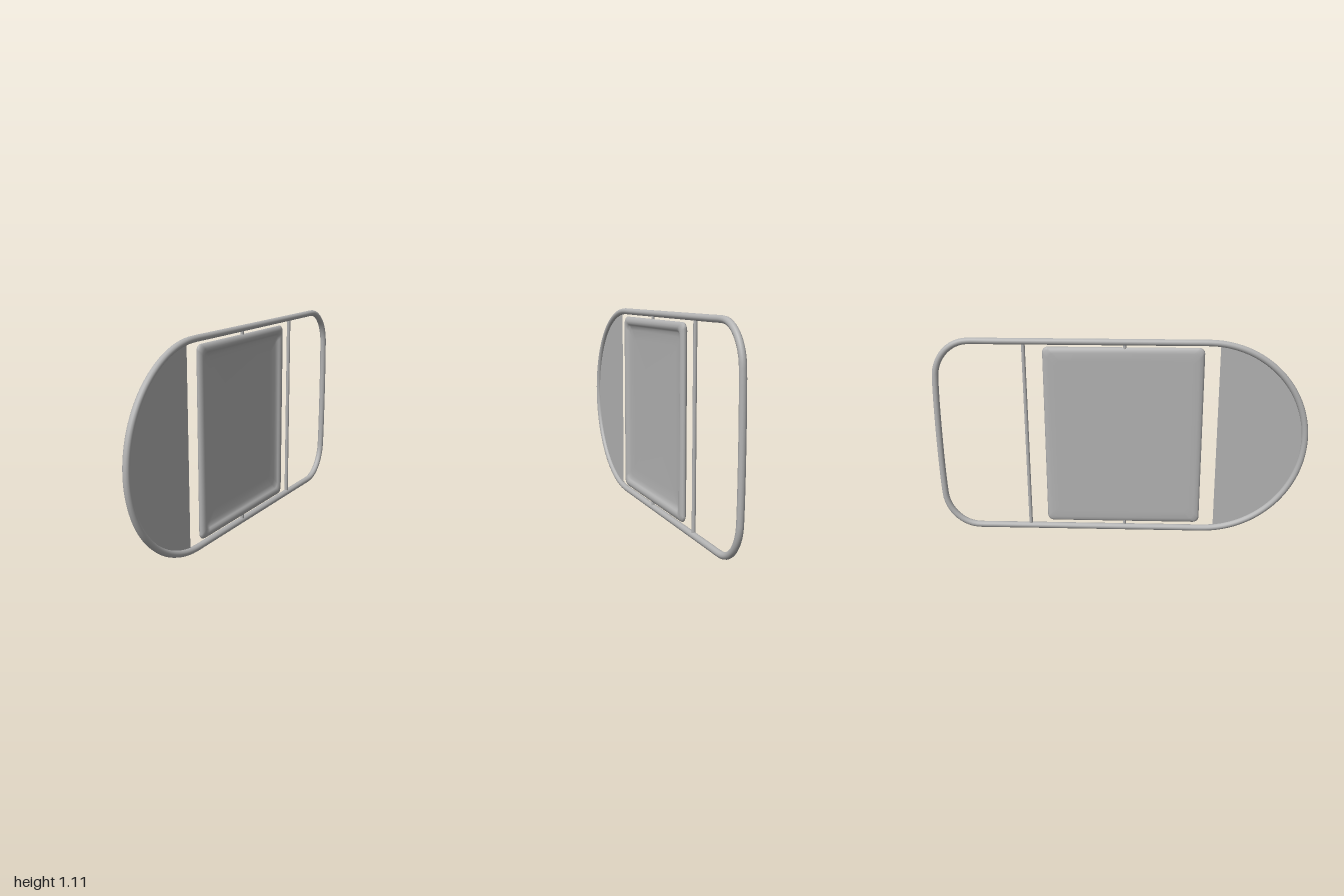
import * as THREE from 'three';

const MID = 0.555, HALF = 0.538;      // centre height and half height of the frame tube
const NOSE_U = 0.46, NOSE_R = 0.537;  // start and reach of the rounded end

// Rounded-rectangle ring in the plane of the panel, at depth x
function ring(halfU, halfY, r, x, centreU, centreY) {
  const pts = [], steps = 5;
  for (let c = 0; c < 4; c++) {
    const sy = c === 0 || c === 3 ? 1 : -1, su = c < 2 ? 1 : -1;
    for (let i = 0; i <= steps; i++) {
      const t = (c + i / steps) * Math.PI / 2;
      pts.push(x,
        centreY + sy * (halfY - r) + r * Math.cos(t),
        centreU + su * (halfU - r) + r * Math.sin(t));
    }
  }
  return pts;
}

// Padded panel: flat back, puffed rim, dished front
function cushionGeometry() {
  const w = 0.428, h = 0.507, cu = 0.0145, cy = 0.557;
  const profile = [
    [0.42, -0.013], [0.07, -0.013], [0.03, -0.012], [0.012, -0.008], [0.003, -0.001], [0, 0.007],
    [0.004, 0.015], [0.013, 0.021], [0.025, 0.024], [0.037, 0.022], [0.046, 0.016],
    [0.054, 0.009], [0.075, 0.005], [0.13, 0.002], [0.42, 0.002],
  ];
  const pos = [], idx = [], n = 24;
  for (const [inset, x] of profile) {
    pos.push(...ring(w - inset, h - inset, inset > 0.4 ? 0.004 : 0.03, x, cu, cy));
  }
  for (let i = 0; i < profile.length - 1; i++) {
    for (let j = 0; j < n; j++) {
      const k = (j + 1) % n;
      const a = i * n + j, b = i * n + k, c = a + n, d = b + n;
      idx.push(a, b, d, a, d, c);
    }
  }
  // close the narrow slot left at the centre of both faces
  const last = (profile.length - 1) * n;
  for (let j = 1; j < n - 1; j++) {
    idx.push(0, j + 1, j, last, last + j, last + j + 1);
  }
  const g = new THREE.BufferGeometry();
  g.setAttribute('position', new THREE.Float32BufferAttribute(pos, 3));
  g.setIndex(idx);
  g.computeVertexNormals();
  return g;
}

// Closed outline of the tube frame: round end at +z, soft-cornered end at -z
function frameCurve() {
  const pts = [], add = (u, y) => pts.push(new THREE.Vector3(0, MID + y, u));
  for (let i = 0; i <= 32; i++) {
    const t = -Math.PI / 2 + Math.PI * i / 32;
    add(NOSE_U + NOSE_R * Math.cos(t), HALF * Math.sin(t));
  }
  const rail = [0.35, 0.1, -0.2, -0.5, -0.7];
  rail.forEach((u) => add(u, HALF));
  const corner = [];
  for (let i = 0; i <= 8; i++) {
    const t = Math.PI / 2 * i / 8;
    corner.push([-0.8 - 0.192 * Math.sin(t), HALF - 0.21 + 0.21 * Math.cos(t)]);
  }
  corner.forEach(([u, y]) => add(u, y));
  add(-0.997, 0.15);
  add(-0.997, -0.15);
  corner.reverse().forEach(([u, y]) => add(u, -y));
  rail.reverse().forEach((u) => add(u, -HALF));
  return new THREE.CatmullRomCurve3(pts, true, 'centripetal');
}

// Flat sheet filling the round end
function endSheetGeometry() {
  const start = 0.523, a = Math.acos((start - NOSE_U) / NOSE_R);
  const shape = new THREE.Shape();
  for (let i = 0; i <= 32; i++) {
    const t = -a + 2 * a * i / 32;
    const u = NOSE_U + NOSE_R * Math.cos(t), y = MID + HALF * Math.sin(t);
    if (i === 0) shape.moveTo(u, y); else shape.lineTo(u, y);
  }
  shape.closePath();
  return new THREE.ShapeGeometry(shape).rotateY(-Math.PI / 2);
}

export function createModel() {
  const grey = new THREE.MeshStandardMaterial({ color: 0xb4b4b4 });
  grey.name = 'grey';
  grey.side = THREE.DoubleSide;

  const model = new THREE.Group();
  model.name = 'framedPanel';
  const add = (name, geometry) => {
    const mesh = new THREE.Mesh(geometry, grey);
    mesh.name = name;
    model.add(mesh);
    return mesh;
  };

  add('tubeFrame', new THREE.TubeGeometry(frameCurve(), 240, 0.0175, 12, true));
  add('endSheet', endSheetGeometry());
  add('paddedPanel', cushionGeometry());

  // Upright bar behind the panel
  add('crossBar', new THREE.CylinderGeometry(0.01, 0.01, 2 * HALF, 12)).position.set(0, MID, -0.512);

  // Pins joining the panel to the frame
  for (const s of [1, -1]) {
    add(s > 0 ? 'upperPin' : 'lowerPin', new THREE.CylinderGeometry(0.009, 0.009, 0.05, 12))
      .position.set(0.004, MID + s * 0.515, 0.022);
  }

  model.rotation.y = 0.174;
  const root = new THREE.Group();
  root.name = 'model';
  root.add(model);
  return root;
}
